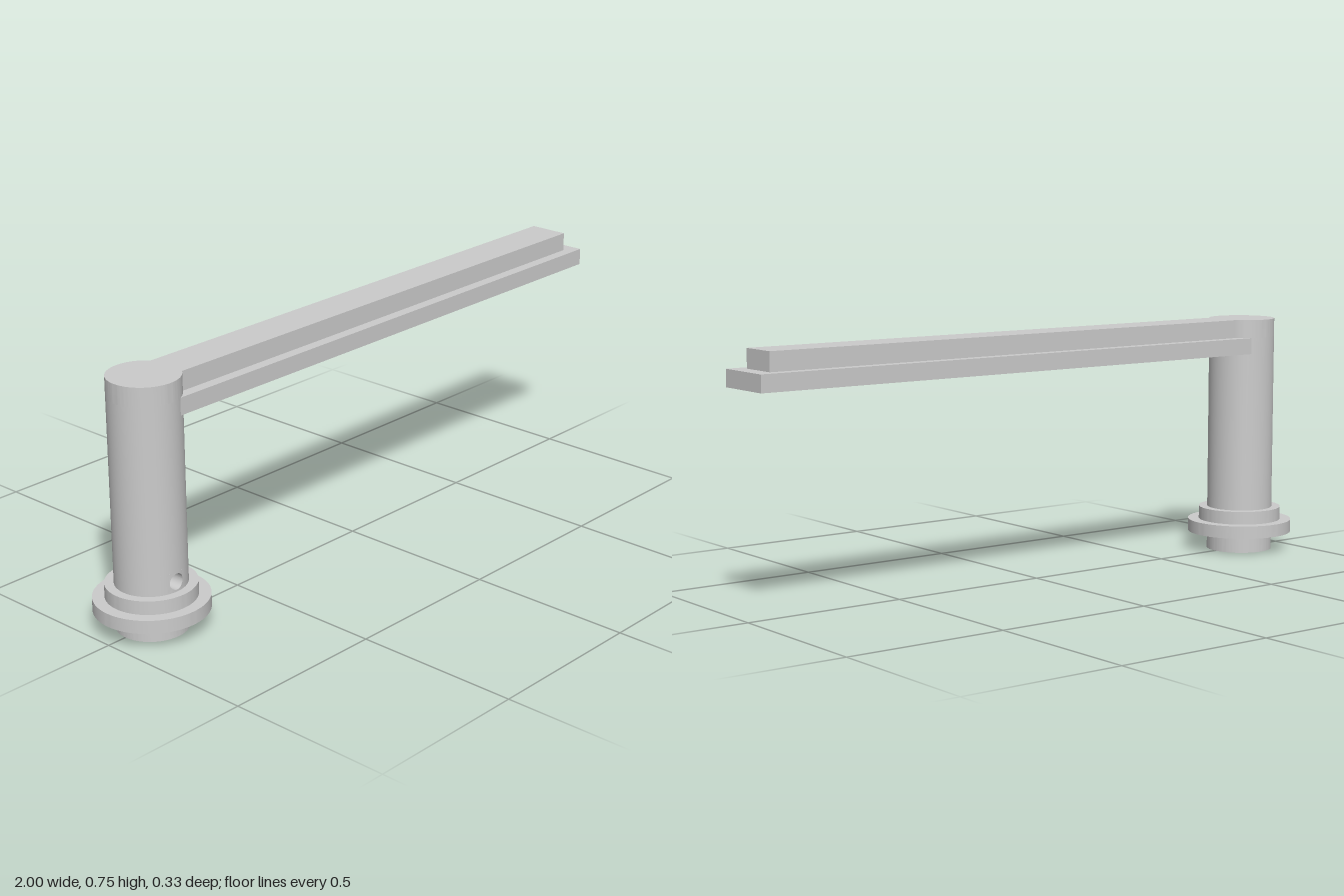
import * as THREE from 'three';
import { toCreasedNormals } from 'three/addons/utils/BufferGeometryUtils.js';

const CX = -0.834;   // axis of the post
const R = 0.104;     // post radius
const SOCKET = 0.058; // half width of the square drive socket
const SOCKET_TOP = 0.26;
const HOLE_R = 0.024, HOLE_Y = 0.168, WIN = 0.03; // set screw hole and its wall window

export function createModel() {
  const group = new THREE.Group();
  const material = new THREE.MeshStandardMaterial({ color: 0xcccccc });
  const doubleSided = new THREE.MeshStandardMaterial({ color: 0xcccccc, side: THREE.DoubleSide });

  const add = (name, geometry, x = CX, y = 0, z = 0, mat = material) => {
    const mesh = new THREE.Mesh(geometry, mat);
    mesh.name = name;
    mesh.position.set(x, y, z);
    group.add(mesh);
    return mesh;
  };

  // Extrudes a plan shape upwards from y0 to y1
  const slab = (name, shape, y0, y1) => {
    const g = new THREE.ExtrudeGeometry(shape, { depth: y1 - y0, bevelEnabled: false, curveSegments: 64 });
    g.rotateX(-Math.PI / 2);
    add(name, toCreasedNormals(g, 0.6), CX, y0);
  };

  // Round discs pierced by the square socket
  const disc = (r) => {
    const s = new THREE.Shape().absarc(0, 0, r, 0, Math.PI * 2);
    const h = SOCKET;
    s.holes.push(new THREE.Path().moveTo(-h, -h).lineTo(-h, h).lineTo(h, h).lineTo(h, -h).closePath());
    return s;
  };
  slab('postFoot', disc(R), 0, 0.057);
  slab('flange', disc(0.166), 0.057, 0.097);
  slab('collar', disc(0.131), 0.097, 0.138);

  // Post wall, with a gap at the front for the set screw hole
  const gap = Math.asin(WIN / R);
  const bandTop = HOLE_Y + WIN;
  add('postLowerWall', new THREE.CylinderGeometry(R, R, 2 * WIN, 64, 1, true, gap, Math.PI * 2 - 2 * gap), CX, HOLE_Y);
  add('postWall', new THREE.CylinderGeometry(R, R, 0.693 - bandTop, 64, 1, true), CX, (0.693 + bandTop) / 2);

  // Curved patch around the set screw hole, and the bore behind it
  const patch = [], bore = [], patchIndex = [], boreIndex = [];
  const N = 48;
  for (let i = 0; i <= N; i++) {
    const a = (i / N) * Math.PI * 2;
    const c = Math.cos(a), s = Math.sin(a);
    const k = WIN / Math.max(Math.abs(c), Math.abs(s));
    for (const r of [HOLE_R, k]) patch.push(r * c, r * s, Math.sqrt(R * R - r * r * c * c));
    bore.push(HOLE_R * c, HOLE_R * s, SOCKET, HOLE_R * c, HOLE_R * s, Math.sqrt(R * R - (HOLE_R * c) ** 2));
    if (i === N) break;
    const j = 2 * i;
    patchIndex.push(j, j + 1, j + 3, j, j + 3, j + 2);
    boreIndex.push(j, j + 1, j + 3, j, j + 3, j + 2);
  }
  const surface = (positions, index) => {
    const g = new THREE.BufferGeometry();
    g.setAttribute('position', new THREE.Float32BufferAttribute(positions, 3));
    g.setIndex(index);
    g.computeVertexNormals();
    return g;
  };
  add('setScrewHoleSurround', surface(patch, patchIndex), CX, HOLE_Y);
  add('setScrewBore', surface(bore, boreIndex), CX, HOLE_Y, 0, doubleSided);

  // Upper socket walls (the front one is open to the bore) and ceiling
  for (let i = 0; i < 4; i++) {
    const wall = new THREE.Shape().moveTo(-SOCKET, 0.138).lineTo(SOCKET, 0.138)
      .lineTo(SOCKET, SOCKET_TOP).lineTo(-SOCKET, SOCKET_TOP).closePath();
    if (i === 0) wall.holes.push(new THREE.Path().absarc(0, HOLE_Y, HOLE_R, 0, Math.PI * 2, true));
    const g = new THREE.ShapeGeometry(wall, 24);
    g.translate(0, 0, SOCKET);
    g.rotateY((i * Math.PI) / 2);
    add('socketWall', g, CX, 0, 0, doubleSided);
  }
  const ceiling = new THREE.PlaneGeometry(2 * SOCKET, 2 * SOCKET);
  ceiling.rotateX(Math.PI / 2);
  add('socketCeiling', ceiling, CX, SOCKET_TOP);

  // Post head and narrow upper rail as one keyhole outline
  const railHalf = 0.061;
  const join = Math.asin(railHalf / R);
  const railEnd = 0.953 - CX;
  const keyhole = new THREE.Shape()
    .absarc(0, 0, R, join, Math.PI * 2 - join)
    .lineTo(railEnd, -railHalf).lineTo(railEnd, railHalf).closePath();
  slab('headAndUpperRail', keyhole, 0.693, 0.75);

  // Wide lower bar of the arm
  const start = -0.81, end = 1;
  add('lowerArmBar', new THREE.BoxGeometry(end - start, 0.051, 0.188), (start + end) / 2, 0.6675);

  return group;
}
